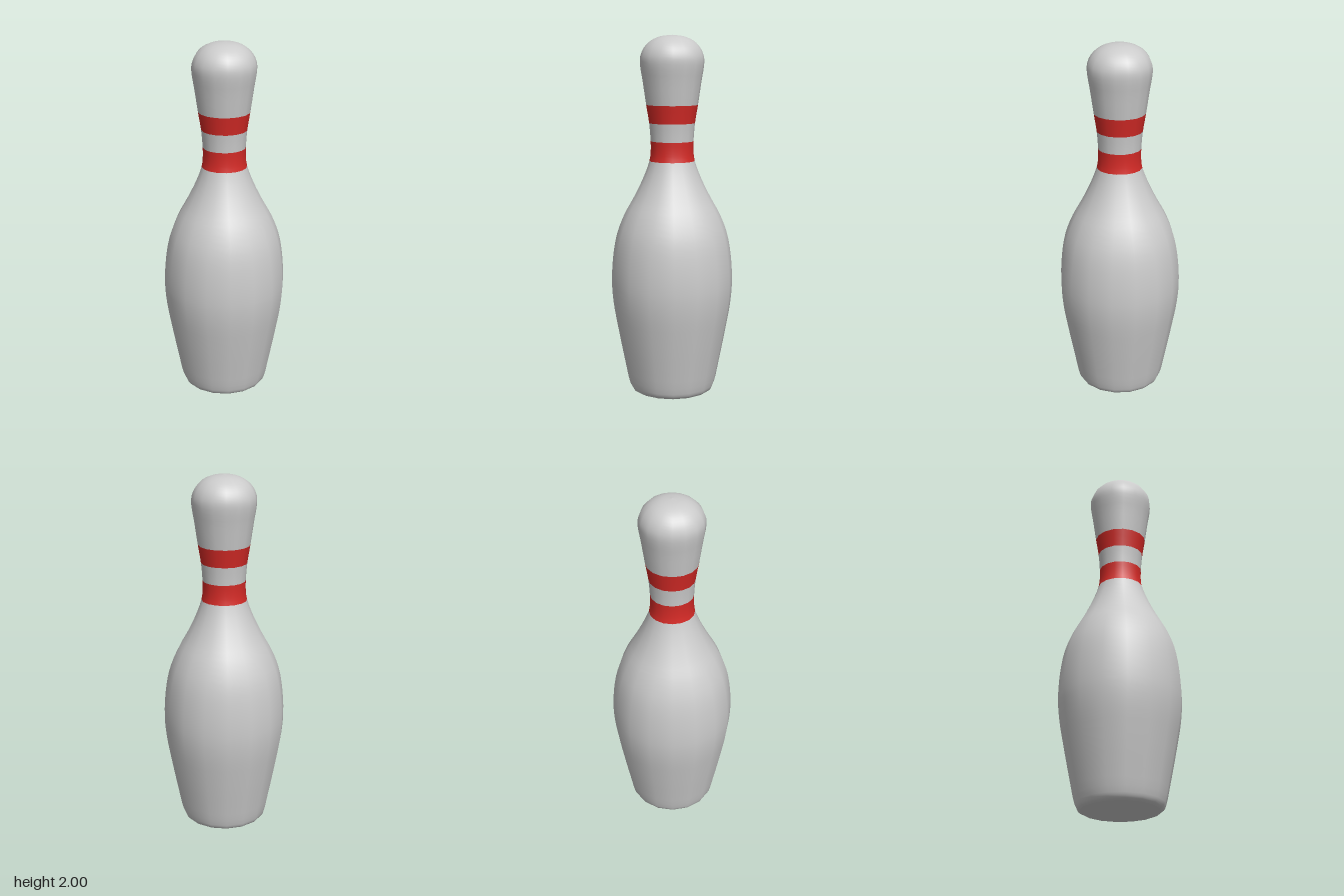
import * as THREE from 'three';

const SIDES = 16;
const STEPS = 3; // samples between neighbouring profile points

// Silhouette as [radius, height], from base rim to crown
const PROFILE = [
  [0.212, 0], [0.228, 0.01], [0.241, 0.035], [0.268, 0.16], [0.307, 0.36], [0.331, 0.5],
  [0.34, 0.62], [0.332, 0.77], [0.309, 0.9], [0.267, 1.01], [0.212, 1.11], [0.163, 1.21],
  [0.126, 1.31], [0.119, 1.36], [0.119, 1.42], [0.127, 1.52], [0.143, 1.62], [0.162, 1.75],
  [0.176, 1.84], [0.174, 1.885], [0.155, 1.93], [0.118, 1.968], [0.064, 1.992], [0, 2],
];

export function createModel() {
  const group = new THREE.Group();
  const white = new THREE.MeshStandardMaterial({ color: 0xcccccc });
  const red = new THREE.MeshStandardMaterial({ color: 0xd42a26 });

  const curve = new THREE.CatmullRomCurve3(PROFILE.map(([r, y]) => new THREE.Vector3(r, y, 0)));
  const last = PROFILE.length - 1;

  // Revolve the stretch of silhouette between two profile points
  function band(name, from, to, material) {
    const points = [];
    for (let i = from * STEPS; i <= to * STEPS; i++) {
      const p = curve.getPoint(i / (last * STEPS));
      points.push(new THREE.Vector2(Math.max(p.x, 0), p.y));
    }
    const mesh = new THREE.Mesh(new THREE.LatheGeometry(points, SIDES), material);
    mesh.name = name;
    group.add(mesh);
  }

  band('body', 0, 12, white);
  band('lowerStripe', 12, 14, red);
  band('neck', 14, 15, white);
  band('upperStripe', 15, 16, red);
  band('head', 16, last, white);

  // Flat underside
  const base = new THREE.Mesh(new THREE.CircleGeometry(PROFILE[0][0], SIDES), white);
  base.rotation.x = Math.PI / 2;
  base.name = 'base';
  group.add(base);

  return group;
}
